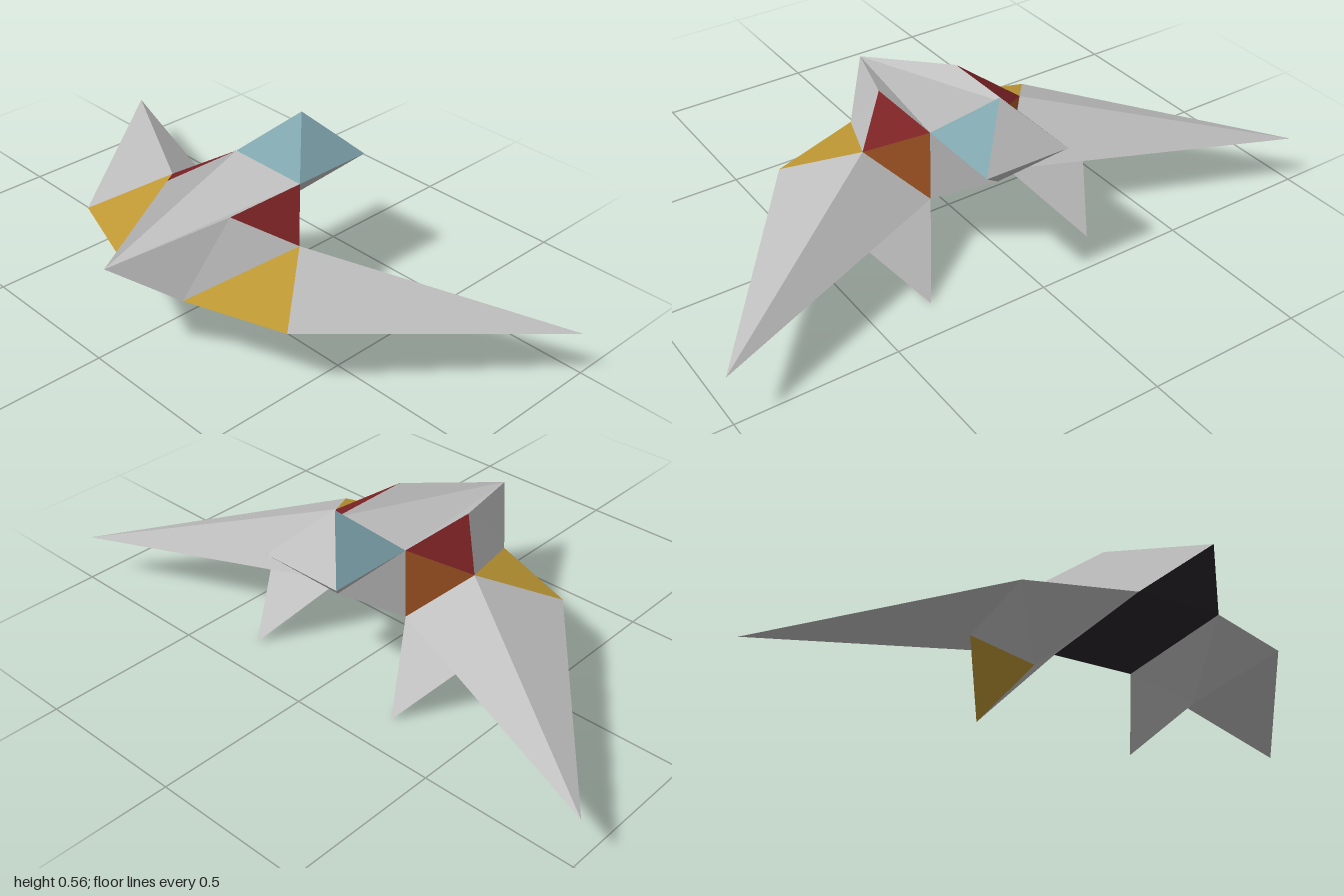
import * as THREE from 'three';

const AXIS = 0.027; // centre line of the hull, slightly off the wing span's middle

const mat = (name, color) => {
  const m = new THREE.MeshStandardMaterial({ color, flatShading: true });
  m.name = name;
  return m;
};

// Corner points for one side (s = 1 left, s = -1 right)
function corners(s) {
  const p = (half, y, z) => new THREE.Vector3(AXIS + s * half, y, z);
  return {
    nose: p(0, 0.322, 0.483),
    rimFront: p(0.141, 0.413, 0.128),
    rimBack: p(0.141, 0.413, -0.156),
    shoulder: p(0.286, 0.322, -0.014),
    chin: p(0.141, 0.205, 0.312),
    keel: p(0.141, 0.18, -0.156),
    elbow: p(0.457, 0.205, 0.2),
    tip: new THREE.Vector3(s, 0.149, -0.483),
    hip: p(0.432, 0.176, -0.156),
    knee: p(0.286, 0.065, -0.02),
    finTip: p(0.286, 0, -0.378),
    tailCorner: p(0.141, 0.413, -0.44),
    tailTop: p(0, 0.555, -0.298),
    tailBase: p(0, 0.27, -0.298),
  };
}

// Flat facets, each turned to face away from the given inner point
function facets(name, material, inner, polygons) {
  const pos = [];
  const n = new THREE.Vector3(), e = new THREE.Vector3(), toInner = new THREE.Vector3();
  for (const poly of polygons) {
    for (let i = 1; i < poly.length - 1; i++) {
      let [a, b, c] = [poly[0], poly[i], poly[i + 1]];
      n.subVectors(b, a).cross(e.subVectors(c, a));
      if (n.dot(toInner.subVectors(inner, a)) > 0) [b, c] = [c, b];
      for (const v of [a, b, c]) pos.push(v.x, v.y, v.z);
    }
  }
  const g = new THREE.BufferGeometry();
  g.setAttribute('position', new THREE.Float32BufferAttribute(pos, 3));
  g.computeVertexNormals();
  const mesh = new THREE.Mesh(g, material);
  mesh.name = name;
  return mesh;
}

export function createModel() {
  const grey = mat('hull grey', 0xbebebe);
  const gold = mat('gold', 0xbd9733);
  const teal = mat('teal', 0x7fa5ad);
  const red = mat('dark red', 0x7a2224);
  const orange = mat('burnt orange', 0xa85826);
  const black = mat('black', 0x282528);

  const model = new THREE.Group();
  model.name = 'glider';
  const L = corners(1), R = corners(-1);
  const hullInner = new THREE.Vector3(AXIS, 0.25, 0);
  const tailInner = new THREE.Vector3(AXIS, 0.38, -0.24);

  // Central deck and belly
  model.add(
    facets('deck', grey, hullInner, [[L.rimBack, R.rimBack, L.nose]]),
    facets('belly', black, hullInner, [
      [L.nose, L.chin, R.chin],
      [L.chin, L.keel, R.keel, R.chin],
    ]),
  );

  // Tail block: teal canopy over a grey wedge
  model.add(
    facets('canopyFront', teal, tailInner, [[L.rimBack, R.rimBack, L.tailTop]]),
    facets('canopyBack', grey, tailInner, [[L.tailCorner, R.tailCorner, L.tailTop]]),
    facets('tailWedge', grey, tailInner, [
      [L.tailCorner, R.tailCorner, L.tailBase],
      [L.keel, R.keel, L.tailBase],
    ]),
  );

  // Mirrored halves
  for (const [side, s, c] of [['left', 1, L], ['right', -1, R]]) {
    const half = new THREE.Group();
    half.name = side + 'Half';
    const wingInner = new THREE.Vector3(AXIS + s * 0.29, 0.23, -0.05);
    const finInner = new THREE.Vector3(AXIS + s * 0.286, 0.13, -0.15);
    half.add(
      // Hull flank
      facets('hullSide', grey, hullInner, [
        [c.rimBack, c.rimFront, c.nose],
        [c.rimFront, c.chin, c.nose],
        [c.rimFront, c.shoulder, c.chin],
      ]),
      facets('shoulderPanel', red, hullInner, [[c.rimFront, c.rimBack, c.shoulder]]),
      facets('rearPanel', orange, hullInner, [[c.rimBack, c.shoulder, c.keel]]),
      // Wing
      facets('wing', grey, wingInner, [
        [c.shoulder, c.elbow, c.tip],
        [c.shoulder, c.tip, c.keel],
        [c.elbow, c.hip, c.tip],
        [c.keel, c.hip, c.tip],
      ]),
      facets('wingLeadingPanel', gold, wingInner, [[c.shoulder, c.chin, c.elbow]]),
      // Lower fin
      facets('fin', grey, finInner, [
        [c.chin, c.elbow, c.knee],
        [c.elbow, c.knee, c.hip],
        [c.chin, c.knee, c.keel],
        [c.knee, c.keel, c.finTip],
        [c.keel, c.hip, c.finTip],
      ]),
      facets('finOuterPanel', gold, finInner, [[c.knee, c.hip, c.finTip]]),
      // Tail block flank
      facets('canopySide', teal, tailInner, [[c.rimBack, c.tailCorner, c.tailTop]]),
      facets('tailSide', grey, tailInner, [
        [c.rimBack, c.tailCorner, c.tailBase],
        [c.rimBack, c.keel, c.tailBase],
      ]),
    );
    model.add(half);
  }
  return model;
}
